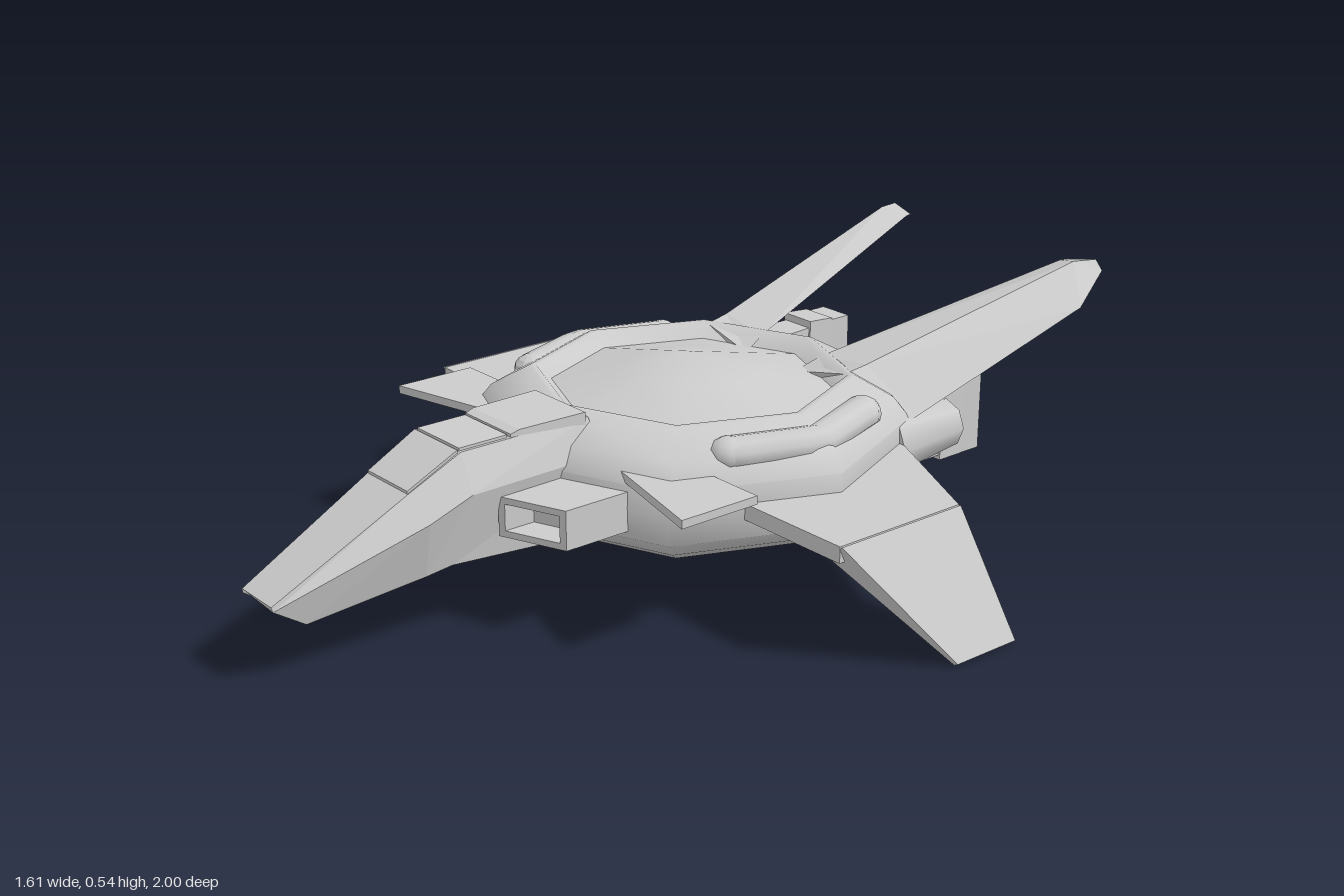
import * as THREE from 'three';
import { toCreasedNormals } from 'three/addons/utils/BufferGeometryUtils.js';

const material = new THREE.MeshStandardMaterial({ color: 0xcccccc, side: THREE.DoubleSide });
const HULL_Z = -0.07;

// Turns every triangle of a closed shape outward
function outward(geo) {
  const p = geo.attributes.position, a = new THREE.Vector3(), b = new THREE.Vector3(), c = new THREE.Vector3();
  let volume = 0;
  for (let i = 0; i < p.count; i += 3) {
    a.fromBufferAttribute(p, i); b.fromBufferAttribute(p, i + 1); c.fromBufferAttribute(p, i + 2);
    volume += a.dot(b.cross(c));
  }
  if (volume < 0) {
    for (let i = 0; i < p.count; i += 3) {
      b.fromBufferAttribute(p, i + 1); c.fromBufferAttribute(p, i + 2);
      p.setXYZ(i + 1, c.x, c.y, c.z); p.setXYZ(i + 2, b.x, b.y, b.z);
    }
  }
  geo.computeVertexNormals();
  return geo;
}

// Closed faceted solid through sections with equal point counts
function loft(sections) {
  const out = [], n = sections[0].length;
  const tri = (a, b, c) => out.push(...a, ...b, ...c);
  for (let s = 0; s < sections.length - 1; s++) {
    for (let i = 0; i < n; i++) {
      const j = (i + 1) % n, A = sections[s], B = sections[s + 1];
      tri(A[i], A[j], B[j]);
      tri(A[i], B[j], B[i]);
    }
  }
  const first = sections[0], last = sections[sections.length - 1];
  for (let i = 1; i < n - 1; i++) {
    tri(first[0], first[i + 1], first[i]);
    tri(last[0], last[i], last[i + 1]);
  }
  const geo = new THREE.BufferGeometry();
  geo.setAttribute('position', new THREE.Float32BufferAttribute(out, 3));
  return outward(geo);
}

// Flat plate: [x, z] corners between two heights
const plate = (corners, y0, y1) => loft([y0, y1].map(y => corners.map(([x, z]) => [x, y, z])));

// Tapered block: rows of [z, centre x, half width, bottom, top]
const block = rows => loft(rows.map(([z, x, w, b, t]) => [[x - w, b, z], [x + w, b, z], [x + w, t, z], [x - w, t, z]]));

// Rectangular open frame, extruded along z from z0
function frame(x0, x1, y0, y1, border, z0, depth) {
  const rect = (C, g) => new C([[x0 + g, y0 + g], [x1 - g, y0 + g], [x1 - g, y1 - g], [x0 + g, y1 - g]]
    .map(([x, y]) => new THREE.Vector2(x, y)));
  const shape = rect(THREE.Shape, 0);
  shape.holes.push(rect(THREE.Path, border));
  return new THREE.ExtrudeGeometry(shape, { depth, bevelEnabled: false }).translate(0, 0, z0);
}

// Octagonal turned part around the hull axis
function turned(profile) {
  const geo = new THREE.LatheGeometry(profile.map(([r, y]) => new THREE.Vector2(r, y)), 8);
  return toCreasedNormals(geo, 0.9).translate(0, 0, HULL_Z);
}

export function createModel() {
  const model = new THREE.Group();
  const add = (name, geo) => {
    const mesh = new THREE.Mesh(geo, material);
    mesh.name = name;
    model.add(mesh);
  };
  const pair = (name, geo) => {
    const g = geo.index ? geo.toNonIndexed() : geo;
    add(name + 'Left', g);
    const m = outward(g.clone().scale(-1, 1, 1));
    add(name + 'Right', name === 'sidePad' ? toCreasedNormals(m, 0.9) : m);
  };

  // Hull with recessed shallow cones above and below
  add('hull', turned([[0.29, 0.125], [0.295, 0.105], [0.345, 0.105], [0.42, 0.145], [0.47, 0.185], [0.472, 0.25],
    [0.47, 0.3], [0.435, 0.345], [0.35, 0.392], [0.335, 0.392], [0.3, 0.36]]));
  add('topDome', turned([[0.305, 0.362], [0.15, 0.399], [0, 0.435]]));
  add('bellyDome', turned([[0, 0.06], [0.15, 0.09], [0.3, 0.121]]));

  // Nose: six-sided sections from the neck to the tip
  const six = (top, mid, bot) => [[-top[0], top[1], top[2]], [top[0], top[1], top[2]], mid,
    [bot[0], bot[1], bot[2]], [-bot[0], bot[1], bot[2]], [-mid[0], mid[1], mid[2]]];
  add('nose', loft([
    six([0.08, 0.39, 0.27], [0.105, 0.31, 0.25], [0.08, 0.13, 0.25]),
    six([0.08, 0.39, 0.58], [0.115, 0.31, 0.58], [0.08, 0.158, 0.61]),
    six([0.072, 0.33, 0.7], [0.115, 0.275, 0.68], [0.078, 0.15, 0.67]),
    six([0.055, 0.175, 1], [0.057, 0.165, 0.998], [0.05, 0.115, 0.925]),
  ]));
  // Neck cover and canopy panels
  add('neckCover', block([[0.28, 0, 0.085, 0.36, 0.403], [0.44, 0, 0.08, 0.36, 0.403], [0.46, 0, 0.078, 0.36, 0.397]]));
  add('canopyTop', block([[0.465, 0, 0.073, 0.37, 0.396], [0.58, 0, 0.073, 0.37, 0.396]]));
  add('canopyFront', block([[0.585, 0, 0.075, 0.35, 0.394], [0.7, 0, 0.07, 0.3, 0.336]]));

  // Cheek intakes, swept back toward the outside
  const sweep = geo => {
    const p = geo.attributes.position;
    for (let i = 0; i < p.count; i++) p.setZ(i, p.getZ(i) - (p.getX(i) - 0.1) * 0.4);
    geo.computeVertexNormals();
    return geo;
  };
  pair('cheekIntake', sweep(frame(0.1, 0.245, 0.2, 0.285, 0.014, 0.42, 0.09)));
  pair('cheekBody', sweep(block([[0.28, 0.1725, 0.0725, 0.2, 0.285], [0.44, 0.1725, 0.0725, 0.2, 0.285]])));

  // Front canards
  pair('canard', plate([[0.22, 0.17], [0.35, 0.25], [0.485, 0.17], [0.485, 0.36], [0.2, 0.29]], 0.302, 0.32));

  // Side wings with drooping outer panels
  pair('wing', plate([[0.33, -0.37], [0.665, -0.205], [0.665, 0.12], [0.33, 0.12]], 0.225, 0.26));
  pair('wingTip', loft([
    [[0.64, 0.225, -0.205], [0.67, 0.26, -0.205], [0.67, 0.26, 0.12], [0.64, 0.225, 0.12]],
    [[0.797, 0, -0.235], [0.806, 0.005, -0.235], [0.806, 0.005, -0.07], [0.797, 0, -0.07]],
  ]));

  // Rounded pads bent around the hull shoulders
  const pad = new THREE.CurvePath();
  const pts = [[0.33, -0.26], [0.395, HULL_Z], [0.33, 0.11]].map(([x, z]) => new THREE.Vector3(x, 0, z));
  pad.add(new THREE.LineCurve3(pts[0], pts[1]));
  pad.add(new THREE.LineCurve3(pts[1], pts[2]));
  const padGeo = new THREE.TubeGeometry(pad, 12, 0.042, 10).scale(1, 0.85, 1).translate(0, 0.345, 0);
  pair('sidePad', toCreasedNormals(padGeo, 0.9));
  for (const p of [pts[0], pts[2]]) {
    pair('sidePadEnd', new THREE.SphereGeometry(0.042, 10, 8).scale(1, 0.85, 1).translate(p.x, 0.345, p.z));
  }

  // Swept tail fins, triangular in section
  pair('tailFin', loft([
    [[0.08, 0.36, -0.3], [0.225, 0.39, -0.31], [0.335, 0.285, -0.36]],
    [[0.095, 0.385, -0.36], [0.23, 0.4, -0.37], [0.34, 0.3, -0.41]],
    [[0.245, 0.525, -0.965], [0.305, 0.54, -0.94], [0.38, 0.46, -0.885]],
    [[0.25, 0.525, -0.985], [0.32, 0.537, -1], [0.34, 0.515, -1]],
  ]));

  // Outer engines: pylon body, nozzle block and open slot
  const EX = 0.215;
  pair('engineBody', block([[-0.36, EX, 0.045, 0.16, 0.32], [-0.42, EX, 0.045, 0.145, 0.33],
    [-0.58, EX, 0.04, 0.145, 0.335], [-0.58, EX, 0.045, 0.135, 0.352], [-0.65, EX, 0.044, 0.135, 0.347]]));
  pair('engineNozzle', frame(EX - 0.043, EX + 0.043, 0.135, 0.342, 0.017, -0.705, 0.056));
  pair('engineFairing', new THREE.CylinderGeometry(0.055, 0.075, 0.2, 8).rotateX(-Math.PI / 2).translate(0.3, 0.245, -0.45));

  // Centre engine with its faceted root
  add('centreRoot', block([[-0.4, 0, 0.15, 0.19, 0.3], [-0.48, 0, 0.1, 0.2, 0.29], [-0.53, 0, 0.03, 0.21, 0.28]]));
  add('centreEngine', block([[-0.45, 0, 0.04, 0.165, 0.31], [-0.58, 0, 0.04, 0.165, 0.31],
    [-0.58, 0, 0.03, 0.175, 0.3], [-0.61, 0, 0.03, 0.175, 0.3]]));
  add('centreNozzle', frame(-0.03, 0.03, 0.175, 0.3, 0.012, -0.65, 0.04));
  return model;
}
